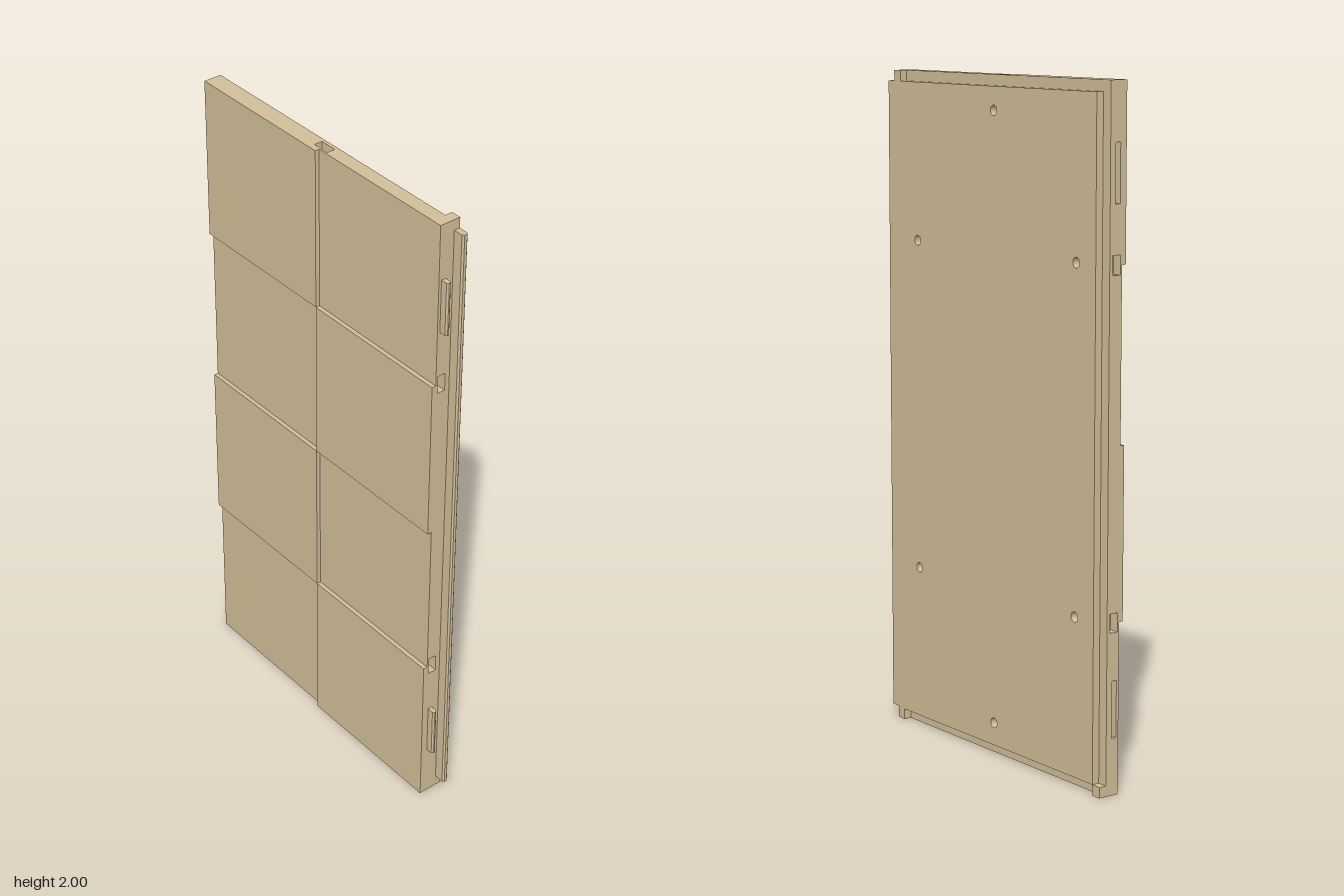
import * as THREE from 'three';

const L = -0.515, R = 0.48, MID = (L + R) / 2, H = 2;   // panel outline
const FRONT = 0.039, LOW = 0.026, STEP = -0.017, BACK = -0.04;
const LAP = 0.032;                                       // width of the lapped edge

export function createModel() {
  const model = new THREE.Group();
  model.name = 'interlockingPanel';
  const mat = new THREE.MeshStandardMaterial({ color: 0xd2be98 });

  const add = (name, geo, parent = model) => {
    const mesh = new THREE.Mesh(geo, mat);
    mesh.name = name;
    parent.add(mesh);
    return mesh;
  };
  const polygon = (pts) => new THREE.Shape(pts.map(([x, y]) => new THREE.Vector2(x, y)));
  // flat slab cut from an outline, between two depths
  const slab = (name, shape, z0, z1) => {
    const geo = new THREE.ExtrudeGeometry(shape, { depth: z1 - z0, bevelEnabled: false, curveSegments: 12 });
    add(name, geo.translate(0, 0, z0));
  };
  // upright strip on the +x edge with chamfered outer corners
  const strip = (name, x1, y0, y1, z0, z1) => {
    const c = 0.005, x0 = R - 0.002;
    const section = polygon([[x0, -z1], [x1 - c, -z1], [x1, -z1 + c], [x1, -z0 - c], [x1 - c, -z0], [x0, -z0]]);
    const geo = new THREE.ExtrudeGeometry(section, { depth: y1 - y0, bevelEnabled: false });
    add(name, geo.rotateX(-Math.PI / 2).translate(0, y0, 0));
  };

  // core outline with connector notches; slots on the -x edge are optional
  const n = 0.0275, d = 0.03;
  const coreOutline = (notches, slots) => {
    const pts = [[L, 0]];
    const alongX = (y, inner, dir) => pts.push(
      [MID - dir * n, y], [MID - dir * n, inner], [MID + dir * n, inner], [MID + dir * n, y]);
    const alongY = (x, inner, y, half, dir) => pts.push(
      [x, y - dir * half], [inner, y - dir * half], [inner, y + dir * half], [x, y + dir * half]);
    if (notches) alongX(0, d, 1);
    pts.push([R, 0]);
    if (notches) [0.5, 1.5].forEach((y) => alongY(R, R - d, y, n, 1));
    pts.push([R, H]);
    if (notches) alongX(H, H - d, -1);
    pts.push([L, H]);
    const cuts = [[1.75, 0.083, slots], [1.5, n, notches], [0.5, n, notches], [0.25, 0.083, slots]];
    cuts.forEach(([y, half, on]) => on && alongY(L, L + d, y, half, -1));
    return polygon(pts);
  };

  // core layers
  slab('coreBack', coreOutline(false, false), STEP, -0.006);
  slab('coreNotchedBack', coreOutline(true, false), -0.006, 0.002);
  slab('coreSlotted', coreOutline(true, true), 0.002, 0.018);
  slab('coreNotchedFront', coreOutline(true, false), 0.018, 0.02);
  slab('coreFront', coreOutline(false, false), 0.02, LOW);

  // back plate, lapped on three sides, with screw holes
  const plate = polygon([
    [L + LAP, LAP], [R - LAP, LAP], [R - LAP, 0], [R, 0],
    [R, H], [R - LAP, H], [R - LAP, H - LAP], [L + LAP, H - LAP],
  ]);
  for (const [x, y] of [[0, 0.1], [0, 1.9], [-0.38, 0.5], [0.38, 0.5], [-0.38, 1.5], [0.38, 1.5]]) {
    plate.holes.push(new THREE.Path().absarc(MID + x, y, 0.015, 0, Math.PI * 2, true));
  }
  slab('backPlate', plate, BACK, STEP);
  add('cornerBlock', new THREE.BoxGeometry(LAP, LAP, STEP - BACK)
    .translate(L + LAP / 2, LAP / 2, (STEP + BACK) / 2));

  // raised tiles in a checker pattern
  const tiles = new THREE.Group();
  tiles.name = 'raisedTiles';
  model.add(tiles);
  const w = (R - L) / 2, h = H / 4;
  for (let row = 0; row < 4; row++) {
    const col = (row + 1) % 2;
    add('raisedTile', new THREE.BoxGeometry(w, h, FRONT - LOW)
      .translate(L + w * (col + 0.5), h * (row + 0.5), (FRONT + LOW) / 2), tiles);
  }

  // joining tongue and locating tabs on the +x edge
  strip('sideTongue', 0.515, 0.035, 1.968, BACK, -0.021);
  for (const y of [0.25, 1.75]) strip('locatingTab', 0.505, y - 0.082, y + 0.082, 0.003, 0.0175);

  return model;
}
